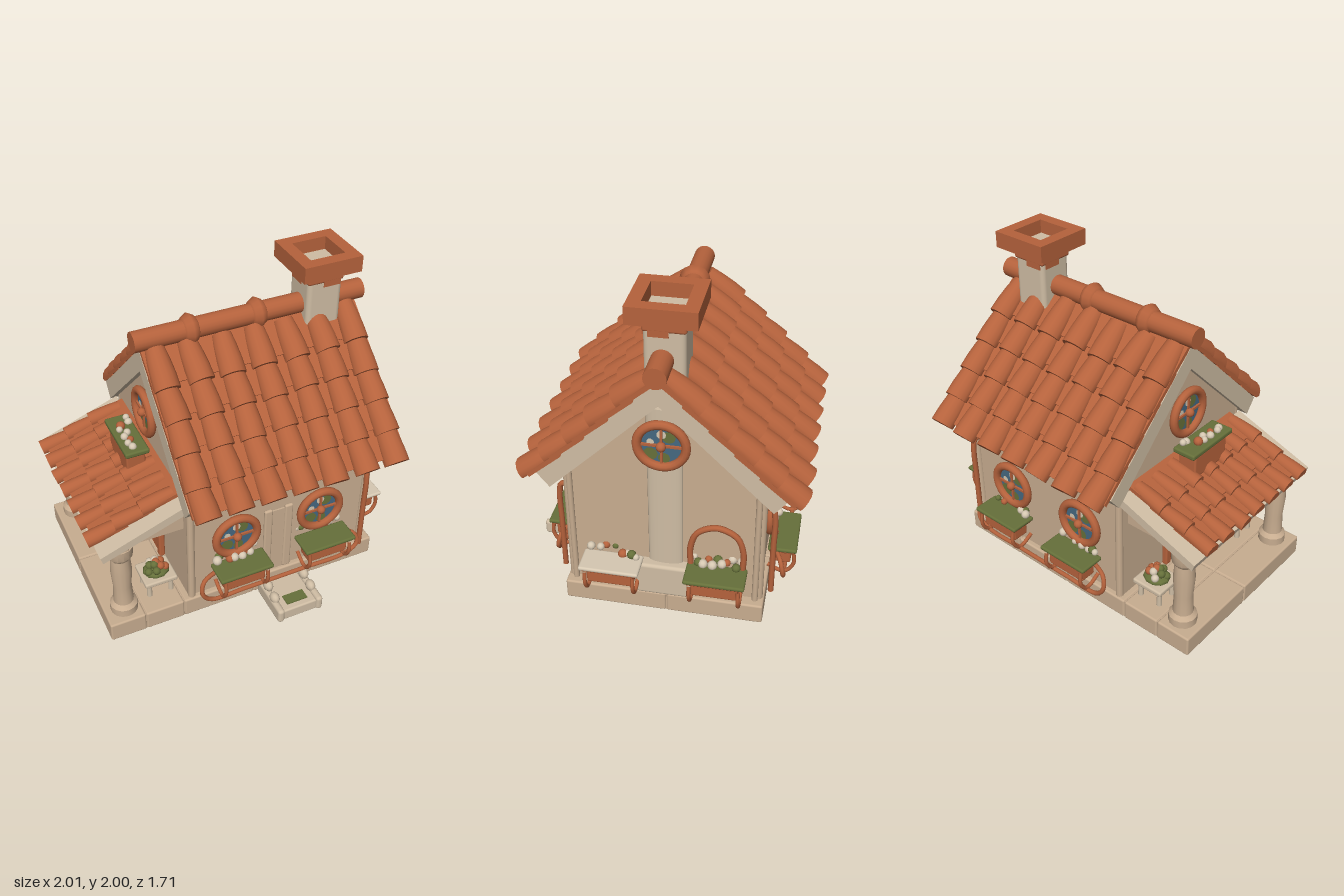
import * as THREE from 'three';
import { toCreasedNormals } from 'three/addons/utils/BufferGeometryUtils.js';
import { RoundedBoxGeometry } from 'three/addons/geometries/RoundedBoxGeometry.js';

const paint = (name, color, side = THREE.FrontSide) => {
  const m = new THREE.MeshStandardMaterial({ color, side });
  m.name = name;
  return m;
};

export function createModel() {
  const clay = paint('terracotta', 0xb5623c), wall = paint('plaster', 0xc8ad90);
  const stone = paint('pale stone', 0xcfbda4), leaf = paint('leaf green', 0x66703a);
  const glass = paint('window blue', 0x456880), petal = paint('cream petal', 0xd6c8b2);
  const root = new THREE.Group();
  root.name = 'cottage';
  const MID = -0.06; // z of the ridge

  let seed = 7;
  const rnd = (a, b) => {
    seed = (seed * 16807) % 2147483647;
    return a + (b - a) * (seed / 2147483647);
  };
  const add = (parent, name, geo, mat, x = 0, y = 0, z = 0) => {
    const m = new THREE.Mesh(geo, mat);
    m.name = name;
    m.position.set(x, y, z);
    parent.add(m);
    return m;
  };
  const group = (parent, name, x = 0, y = 0, z = 0, yaw = 0, pitch = 0) => {
    const g = new THREE.Group();
    g.name = name;
    g.position.set(x, y, z);
    g.rotation.set(pitch, yaw, 0, 'YXZ');
    parent.add(g);
    return g;
  };
  const box = (w, h, d) => new THREE.BoxGeometry(w, h, d);
  const soft = (w, h, d, r = 0.012) => new RoundedBoxGeometry(w, h, d, 2, r);
  const cyl = (a, b, h, n = 14) => new THREE.CylinderGeometry(a, b, h, n);
  const tube = (pts, r, n = 32) => new THREE.TubeGeometry(
    new THREE.CatmullRomCurve3(pts.map(p => new THREE.Vector3(...p))), n, r, 8);
  const extrude = (pts, depth) => new THREE.ExtrudeGeometry(
    new THREE.Shape(pts.map(p => new THREE.Vector2(...p))), { depth, bevelEnabled: false });

  // Foundation blocks
  const xs = [-0.95, -0.72, -0.47, 0, 0.42, 0.86], zs = [-0.65, -0.08, 0.53];
  add(root, 'foundationCore', box(1.79, 0.12, 1.16), wall, -0.045, 0.062, MID);
  for (let i = 0; i < 5; i++) for (let j = 0; j < 2; j++)
    add(root, 'foundationBlock', soft(xs[i + 1] - xs[i] - 0.004, 0.13, zs[j + 1] - zs[j] - 0.004), wall,
      (xs[i] + xs[i + 1]) / 2, 0.065, (zs[j] + zs[j + 1]) / 2);

  // Gabled walls and corner posts
  const body = extrude([[-0.555, 0.12], [0.555, 0.12], [0.555, 0.98], [0, 1.52], [-0.555, 0.98]], 1.22);
  add(root, 'walls', body.rotateY(Math.PI / 2), wall, -0.43, 0, MID);
  for (const x of [-0.41, 0.775]) for (const s of [-1, 1]) {
    add(root, 'cornerPost', cyl(0.024, 0.024, 0.82, 10), wall, x, 0.53, MID + s * 0.555);
    add(root, 'cornerPost', cyl(0.018, 0.018, 0.82, 10), wall, x + 0.028, 0.53, MID + s * 0.535);
  }

  // Main roof deck
  const deck = extrude([[0, 1.62], [-0.69, 0.95], [-0.62, 0.86], [0, 1.47], [0.62, 0.86], [0.69, 0.95]], 1.36);
  add(root, 'roofDeck', deck.rotateY(Math.PI / 2), stone, -0.47, 0, MID);

  // Barrel tile: tapered, bulging, flat underneath, lower end at +z
  function tileGeometry(r0, r1, len) {
    const g = new THREE.CylinderGeometry(r1, r0, len, 16, 3).rotateX(Math.PI / 2);
    const p = g.attributes.position;
    for (let i = 0; i < p.count; i++) {
      const k = 1 + 0.08 * Math.cos(p.getZ(i) / len * Math.PI);
      p.setXY(i, p.getX(i) * k, Math.max(-0.012, p.getY(i) * k));
    }
    return toCreasedNormals(g, 0.9);
  }
  function tiledSlope(g, cols, gap, rows, step, last, geo, len, width) {
    for (let r = 0; r < rows; r++) {
      const u = last - r * step - len / 2;
      add(g, 'panTiles', box(width, 0.025, len), clay, 0, 0.016, u - 0.04).rotation.x = -0.06;
      for (let c = 0; c < cols; c++) {
        const t = add(g, 'roofTile', geo, clay, (c - (cols - 1) / 2) * gap, 0.02, u + rnd(-0.008, 0.008));
        t.rotation.set(-0.09, rnd(-0.05, 0.05), rnd(-0.07, 0.07));
      }
    }
  }
  const bigTile = tileGeometry(0.062, 0.08, 0.25), smallTile = tileGeometry(0.04, 0.05, 0.21);
  for (const yaw of [0, Math.PI])
    tiledSlope(group(root, 'roofSlope', 0.222, 1.62, MID, yaw, 0.771), 7, 0.203, 5, 0.19, 1.04, bigTile, 0.25, 1.38);

  // Ridge pole with two pointed collars
  add(root, 'ridge', cyl(0.062, 0.062, 1.47, 18), clay, 0.225, 1.675, MID).rotation.z = Math.PI / 2;
  for (const x of [-0.16, 0.265]) {
    const collar = new THREE.LatheGeometry([[0.058, -0.045], [0.075, -0.035], [0.095, 0], [0.075, 0.035], [0.058, 0.045]]
      .map(p => new THREE.Vector2(...p)), 14);
    add(root, 'ridgeCollar', collar, clay, x, 1.675, MID).rotation.z = Math.PI / 2;
  }

  // Chimney with hollow cap
  const frame = (w, h, hole) => {
    const s = new THREE.Shape([[-w, -w], [w, -w], [w, w], [-w, w]].map(p => new THREE.Vector2(...p)));
    s.holes.push(new THREE.Path([[-hole, -hole], [-hole, hole], [hole, hole], [hole, -hole]].map(p => new THREE.Vector2(...p))));
    return new THREE.ExtrudeGeometry(s, { depth: h, bevelEnabled: false }).rotateX(-Math.PI / 2);
  };
  const chim = group(root, 'chimney', 0.66, 0, -0.07);
  add(chim, 'chimneyStack', soft(0.225, 0.4, 0.225, 0.03), stone, 0, 1.67, 0);
  add(chim, 'chimneyBand', soft(0.235, 0.08, 0.235, 0.015), clay, 0, 1.87, 0);
  for (let i = 0; i < 4; i++) {
    const a = i * Math.PI / 2;
    const patch = group(chim, 'brickPatch', 0, 0, 0, a);
    add(patch, 'brick', box(0.11, 0.04, 0.006), clay, i % 2 ? -0.03 : 0.04, 1.825, 0.114);
  }
  add(chim, 'chimneyCap', frame(0.187, 0.1, 0.112), clay, 0, 1.9, 0);
  add(chim, 'chimneyFloor', box(0.23, 0.01, 0.23), stone, 0, 1.912, 0);

  // Porch roof on the right-hand side
  add(root, 'porchDeck', extrude([[-0.95, 0.655], [-0.44, 0.835], [-0.44, 0.895], [-0.965, 0.70]], 1.16), stone, 0, 0, -0.645);
  for (const z of [0.39, -0.56])
    add(root, 'porchGable', extrude([[-0.74, 0.655], [-0.43, 0.655], [-0.43, 0.84], [-0.74, 0.735]], 0.05), wall, 0, 0, z);
  add(root, 'porchBeam', soft(0.1, 0.06, 1.08), wall, -0.83, 0.68, MID);
  tiledSlope(group(root, 'porchSlope', -0.46, 0.895, -0.07, -Math.PI / 2, 0.345), 7, 0.149, 3, 0.178, 0.565, smallTile, 0.21, 0.98);

  // Porch pillars
  const pillar = [[0, 0], [0.085, 0], [0.085, 0.05], [0.062, 0.075], [0.056, 0.2], [0.065, 0.33], [0.058, 0.43],
    [0.078, 0.46], [0.082, 0.53], [0, 0.53]].map(p => new THREE.Vector2(...p));
  for (const z of [0.41, -0.53])
    add(root, 'porchPillar', toCreasedNormals(new THREE.LatheGeometry(pillar, 14), 0.6), wall, -0.82, 0.13, z);

  // Round blossoms scattered over a rectangle
  const ball = new THREE.SphereGeometry(1, 10, 8);
  function blossoms(g, n, w, d, y, mats) {
    for (let i = 0; i < n; i++)
      add(g, 'blossom', ball, mats[i % mats.length], ((i + 0.5) / n - 0.5) * w, y + rnd(0, 0.02), rnd(-d, d) / 2)
        .scale.setScalar(rnd(0.018, 0.03));
  }

  // Planter on curled legs, wall at local z = 0
  function planter(parent, x, y, z, rim = leaf, yaw = 0) {
    const g = group(parent, 'planter', x, y, z, yaw);
    add(g, 'planterBox', soft(0.27, 0.1, 0.11), clay, 0, -0.06, 0.1);
    add(g, 'planterLip', soft(0.32, 0.02, 0.15, 0.008), clay, 0, -0.01, 0.1);
    add(g, 'planterFoliage', soft(0.35, 0.026, 0.17), rim, 0, 0.01, 0.105);
    const legs = tube([[0, -0.02, 0.17], [0, -0.1, 0.175], [0, -0.16, 0.14], [0, -0.17, 0.1], [0, -0.13, 0.02]], 0.012, 20);
    for (const s of [-1, 1]) add(g, 'planterLeg', legs, clay, s * 0.14, 0, 0);
    blossoms(g, 11, 0.3, 0.11, 0.03, [petal, leaf, petal, clay]);
    return g;
  }

  // Round window with crossbars, facing local +z
  function roundWindow(parent, x, y, z, yaw = 0, r = 0.135) {
    const g = group(parent, 'roundWindow', x, y, z, yaw);
    add(g, 'windowFrame', new THREE.TorusGeometry(r, 0.026, 10, 28), clay, 0, 0, 0.02);
    add(g, 'windowGlass', new THREE.CircleGeometry(r, 28), glass, 0, 0, 0.012);
    [[0.3, 0.4, 0.28, leaf], [-0.45, -0.45, 0.3, leaf], [0.1, -0.6, 0.25, leaf], [0, 0.5, 0.2, petal], [-0.45, 0.12, 0.16, petal]]
      .forEach(([a, b, c, m], i) => add(g, 'glassPane', new THREE.CircleGeometry(c * r, 9), m, a * r, b * r, 0.014 + i * 0.0005));
    add(g, 'windowBar', box(2 * r, 0.014, 0.012), clay, 0, 0, 0.02);
    add(g, 'windowBar', box(0.014, 2 * r, 0.012), clay, 0, 0, 0.02);
    add(g, 'windowKnob', ball, clay, 0, 0, 0.03).scale.setScalar(0.028);
  }

  // Front and back: windows, planters, rail and drain pipe
  const rail = [[-0.17, 0.34, 0.03], [-0.37, 0.33, 0.1], [-0.39, 0.25, 0.12], [-0.33, 0.18, 0.12], [-0.1, 0.175, 0.12],
    [0.3, 0.175, 0.12], [0.6, 0.18, 0.12], [0.68, 0.24, 0.12], [0.66, 0.32, 0.1], [0.5, 0.34, 0.03]];
  for (const s of [1, -1]) {
    const g = group(root, s > 0 ? 'frontFittings' : 'backFittings', 0, 0, MID + s * 0.56, s > 0 ? 0 : Math.PI);
    for (const x of [-0.12, 0.45]) {
      roundWindow(g, s * x, 0.54, 0);
      planter(g, s * x, 0.355, 0);
    }
    add(g, 'rail', tube(rail.map(([x, y, z]) => [s * x, y, z]), 0.014, 80), clay);
    const px = s * 0.74;
    add(g, 'drainPipe', tube([[px, 0.16, 0.06], [px, 0.3, 0.06], [px, 0.5, 0.06], [px, 0.7, 0.06], [px, 0.77, 0.045], [px, 0.78, 0]], 0.017), clay);
  }

  // Front door planks and step
  for (const x of [0.097, 0.235]) add(root, 'doorPlank', soft(0.055, 0.52, 0.025), wall, x, 0.39, 0.505);
  add(root, 'doorPanel', box(0.1, 0.5, 0.01), wall, 0.165, 0.38, 0.502);
  const step = group(root, 'frontStep', 0.18, 0, 0.68);
  add(step, 'stepBlock', soft(0.24, 0.08, 0.29), stone, 0, 0.04, -0.01);
  add(step, 'stepMoss', box(0.14, 0.008, 0.07), leaf, 0, 0.084, 0.06);
  for (const s of [-1, 1]) {
    add(step, 'stepSide', soft(0.045, 0.1, 0.3, 0.02), stone, s * 0.132, 0.05, 0);
    for (const [z, h] of [[-0.06, 0.15], [0.03, 0.13]])
      add(step, 'stepStone', ball, stone, s * 0.125, h - 0.025, z).scale.set(0.03, 0.035, 0.04);
  }

  // Left end: chimney breast, arched window, planters
  add(root, 'chimneyBreast', cyl(0.1, 0.1, 1.1, 20), stone, 0.79, 0.85, -0.07).scale.x = 0.3;
  add(root, 'hearthBlock', soft(0.09, 0.22, 0.34, 0.02), stone, 0.815, 0.23, -0.07);
  roundWindow(root, 0.81, 1.18, MID, Math.PI / 2);
  planter(root, 0.8, 0.355, 0.23, petal, Math.PI / 2);
  planter(root, 0.8, 0.355, -0.375, leaf, Math.PI / 2);
  const arch = [[0.15, 0.36], [0.15, 0.5], [0.11, 0.605], [0, 0.655], [-0.11, 0.605], [-0.15, 0.5], [-0.15, 0.36]];
  add(root, 'archFrame', tube(arch.map(([z, y]) => [0.825, y, z - 0.37]), 0.018, 40), clay);

  // Right end: door, upper window and flower box
  const porch = group(root, 'porchFittings', -0.43, 0, MID, -Math.PI / 2);
  add(porch, 'door', box(0.28, 0.5, 0.02), clay, 0, 0.38, 0.01);
  for (const s of [-1, 1]) add(porch, 'doorJamb', soft(0.05, 0.53, 0.04), clay, s * 0.155, 0.395, 0.02);
  add(porch, 'doorLintel', soft(0.36, 0.05, 0.04), clay, 0, 0.64, 0.02);
  for (let i = -1; i < 2; i++) add(porch, 'doorBoard', box(0.075, 0.48, 0.01), clay, i * 0.085, 0.375, 0.023);
  add(porch, 'doorKnob', ball, stone, 0.09, 0.38, 0.035).scale.setScalar(0.014);
  roundWindow(porch, 0, 1.18, 0.012);
  add(porch, 'upperPlanterBox', soft(0.3, 0.15, 0.12), clay, 0, 0.94, 0.145);
  add(porch, 'upperPlanterFoliage', soft(0.38, 0.035, 0.15), leaf, 0, 1.035, 0.145);
  const top = group(porch, 'upperBlossoms', 0, 1.05, 0.145);
  blossoms(top, 9, 0.3, 0.1, 0, [petal, petal, clay, petal]);

  // Porch tables with potted blossoms
  for (const z of [0.33, -0.47]) {
    const t = group(root, 'porchTable', -0.575, 0.13, z);
    add(t, 'tableTop', soft(0.21, 0.035, 0.2), stone, 0, 0.115, 0);
    for (const x of [-0.07, 0.07]) for (const d of [-0.06, 0.06])
      add(t, 'tableLeg', cyl(0.014, 0.018, 0.1, 8), stone, x, 0.05, d);
    add(t, 'tableFoliage', ball, leaf, 0, 0.14, 0).scale.set(0.085, 0.03, 0.075);
    for (let i = 0; i < 10; i++) {
      const a = i * 2.4, r = 0.02 * Math.sqrt(i);
      add(t, 'potBlossom', ball, [clay, leaf, petal, clay, leaf][i % 5], Math.cos(a) * r, 0.205 - 0.005 * i, Math.sin(a) * r)
        .scale.setScalar(0.025);
    }
  }
  return root;
}
